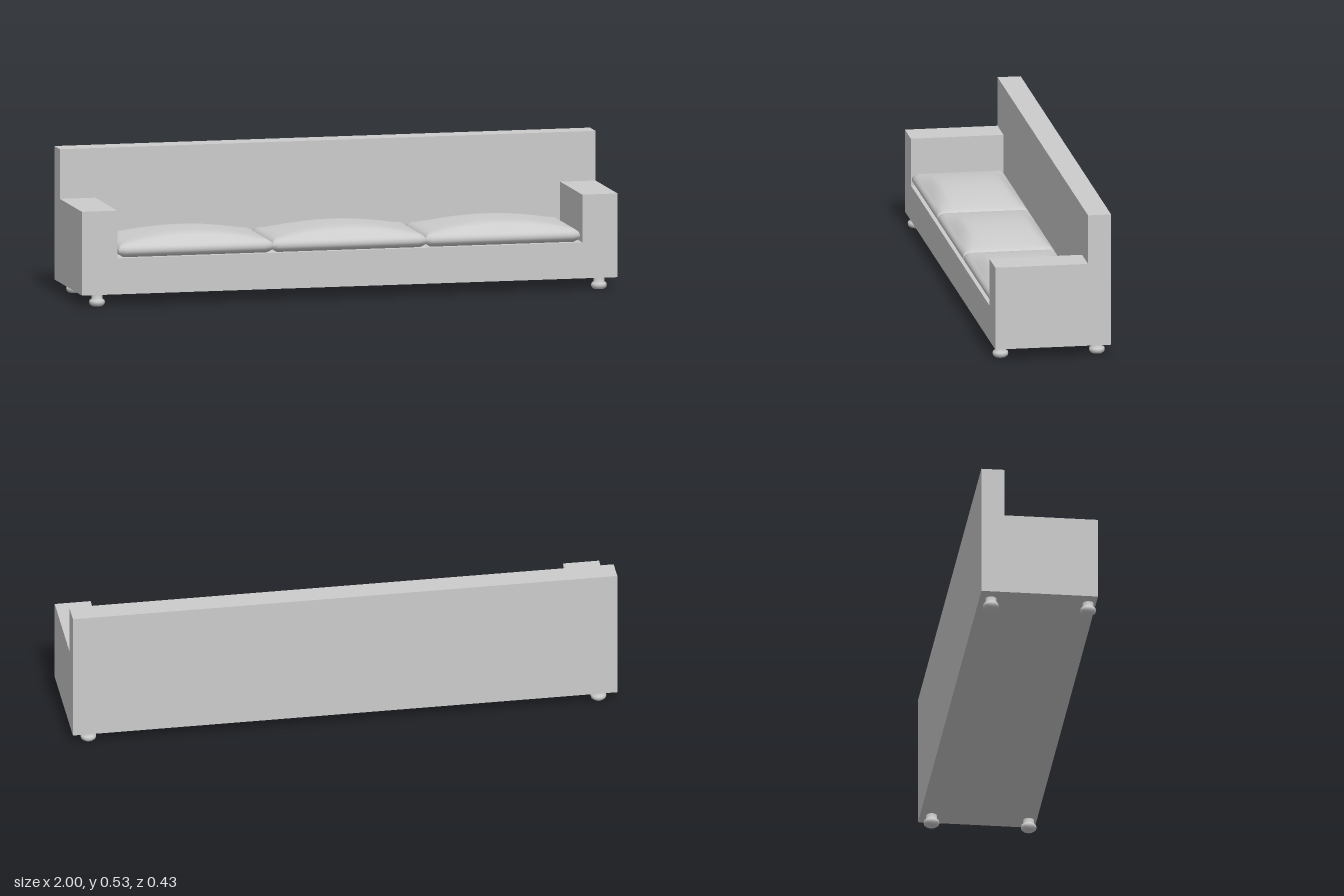
import * as THREE from 'three';
import { mergeVertices } from 'three/addons/utils/BufferGeometryUtils.js';

const material = new THREE.MeshStandardMaterial({ color: 0xcccccc });

function addMesh(parent, name, geometry, x = 0, y = 0, z = 0) {
  const mesh = new THREE.Mesh(geometry, material);
  mesh.name = name;
  mesh.position.set(x, y, z);
  parent.add(mesh);
  return mesh;
}

// Padded cushion resting on y = 0: bulging sides and a domed top
function cushionGeometry(width, depth, rim, crown, bulge) {
  let geometry = new THREE.BoxGeometry(2, 2, 2, 24, 8, 16);
  geometry.deleteAttribute('normal');
  geometry.deleteAttribute('uv');
  geometry = mergeVertices(geometry);
  const p = geometry.attributes.position;
  for (let i = 0; i < p.count; i++) {
    const u = p.getX(i), w = p.getY(i), v = p.getZ(i);
    const inset = bulge * Math.abs(w) ** 2.4;
    const dome = w > 0 ? crown * (1 - u * u) * Math.sqrt(1 - v ** 4) : 0;
    p.setXYZ(i,
      u * (width / 2 - inset),
      rim / 2 + w * (rim / 2 + dome),
      v * (depth / 2 - inset));
  }
  geometry.computeVertexNormals();
  return geometry;
}

export function createModel() {
  const sofa = new THREE.Group();
  sofa.name = 'sofa';

  const bottom = 0.043, seat = 0.175, armTop = 0.35, backTop = 0.532;
  const armInner = 0.868, front = 0.213, backFront = -0.128;

  // Seat base and both arms as one U-shaped block
  const outline = new THREE.Shape([
    [-1, bottom], [1, bottom], [1, armTop], [armInner, armTop],
    [armInner, seat], [-armInner, seat], [-armInner, armTop], [-1, armTop],
  ].map(([x, y]) => new THREE.Vector2(x, y)));
  addMesh(sofa, 'baseAndArms',
    new THREE.ExtrudeGeometry(outline, { depth: front - backFront, bevelEnabled: false }),
    0, 0, backFront);

  // Full-width backrest
  const thickness = backFront + front;
  addMesh(sofa, 'backrest', new THREE.BoxGeometry(2, backTop - bottom, thickness),
    0, (backTop + bottom) / 2, backFront - thickness / 2);

  // Three seat cushions side by side
  const cushion = cushionGeometry(0.574, 0.338, 0.05, 0.033, 0.02);
  for (let i = -1; i <= 1; i++) {
    addMesh(sofa, 'seatCushion', cushion, i * 0.573, seat, 0.041);
  }

  // Turned bun feet
  const foot = new THREE.LatheGeometry([
    [0, 0], [0.02, 0], [0.027, 0.006], [0.029, 0.014], [0.027, 0.021],
    [0.02, 0.027], [0.02, 0.044],
  ].map(([r, y]) => new THREE.Vector2(r, y)), 20);
  for (const x of [-0.937, 0.937]) {
    addMesh(sofa, 'frontFoot', foot, x, 0, 0.184);
    addMesh(sofa, 'rearFoot', foot, x, 0, -0.171);
  }

  return sofa;
}
